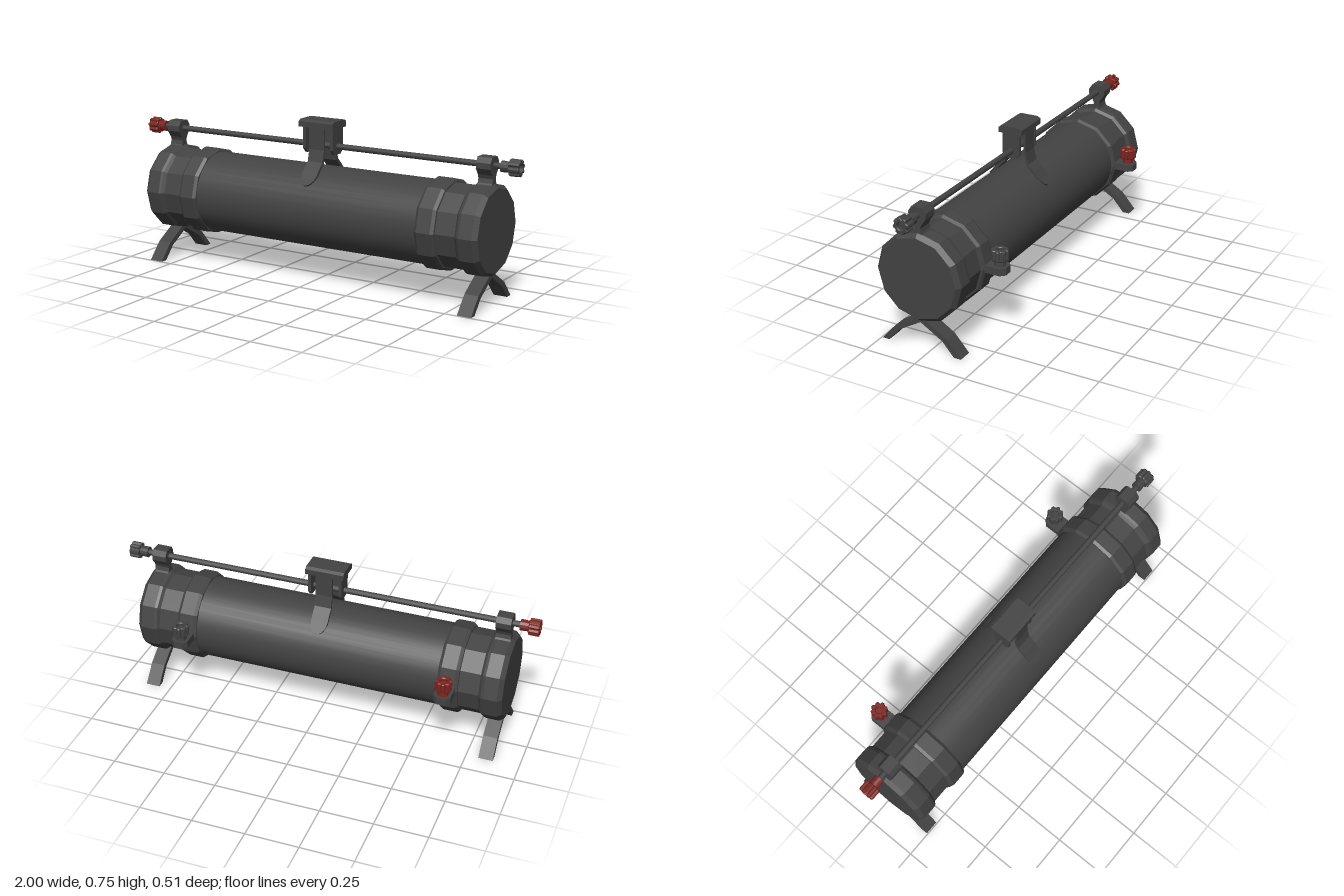
import * as THREE from 'three';

const CY = 0.345, CZ = 0.045; // tube axis
const ROD_Y = 0.635;

export function createModel() {
  const root = new THREE.Group();
  root.name = 'cylinderAssembly';
  const dark = new THREE.MeshStandardMaterial({ color: 0x434343 });
  dark.name = 'darkGrey';
  const red = new THREE.MeshStandardMaterial({ color: 0x7c2520 });
  red.name = 'red';

  const flat = (geo) => {
    const g = geo.index ? geo.toNonIndexed() : geo;
    g.computeVertexNormals();
    return g;
  };
  const add = (name, geo, mat = dark, parent = root) => {
    const m = new THREE.Mesh(geo, mat);
    m.name = name;
    parent.add(m);
    return m;
  };
  const shapeOf = (pts) => new THREE.Shape(pts.map(([x, y]) => new THREE.Vector2(x, y)));

  // twelve-sided turned part along x, profile of [radius, x]
  const turned = (profile) => {
    const g = new THREE.LatheGeometry(profile.map(([r, x]) => new THREE.Vector2(r, x)), 12);
    g.rotateZ(-Math.PI / 2);
    g.translate(0, CY, CZ);
    return flat(g);
  };
  // outline in (z, y), extruded along x around a centre
  const sidePlate = (pts, x, width) => {
    const g = new THREE.ExtrudeGeometry(shapeOf(pts), { depth: width, bevelEnabled: false });
    g.translate(0, 0, -width / 2);
    g.rotateY(-Math.PI / 2);
    g.translate(x, 0, CZ);
    return g;
  };

  // main tube
  const tube = new THREE.CylinderGeometry(0.193, 0.193, 1.28, 36, 1, true);
  tube.rotateZ(Math.PI / 2);
  tube.translate(0, CY, CZ);
  add('tube', tube);

  // fluted knob standing on local y = 0
  const knob = (name, mat, hubHeight) => {
    const g = new THREE.Group();
    g.name = name;
    const hub = new THREE.CylinderGeometry(0.022, 0.026, hubHeight + 0.035, 12);
    hub.translate(0, (hubHeight + 0.035) / 2, 0);
    add('knobHub', flat(hub), mat, g);
    const pts = [];
    for (let i = 0; i < 32; i++) {
      const r = i % 4 < 2 ? 0.036 : 0.029;
      const a = (i + 0.5) * Math.PI / 16;
      pts.push([r * Math.cos(a), r * Math.sin(a)]);
    }
    const s = shapeOf(pts);
    s.holes.push(new THREE.Path().absarc(0, 0, 0.02, 0, Math.PI * 2, true));
    const grip = new THREE.ExtrudeGeometry(s, {
      depth: 0.042, bevelEnabled: true, bevelThickness: 0.004, bevelSize: 0.003, bevelSegments: 1, curveSegments: 12
    });
    grip.rotateX(-Math.PI / 2);
    grip.translate(0, hubHeight + 0.004, 0);
    add('knobGrip', grip, mat, g);
    root.add(g);
    return g;
  };

  for (const side of [-1, 1]) {
    const label = side < 0 ? 'right' : 'left';
    const mat = side < 0 ? red : dark;
    // reverse the profile on the mirrored side so that faces stay outward
    const ends = (profile) => turned(side > 0 ? profile : profile.map(([r, x]) => [r, -x]).reverse());

    add(label + 'EndCap', ends([
      [0.194, 0.67], [0.194, 0.785], [0.206, 0.797], [0.21, 0.81], [0.21, 0.873], [0.192, 0.894], [0, 0.894]
    ]));
    add(label + 'ClampRing', ends([
      [0.185, 0.588], [0.203, 0.592], [0.212, 0.606], [0.212, 0.674], [0.203, 0.688], [0.185, 0.692]
    ]));

    // crossed feet
    for (const f of [-1, 1]) {
      const leg = [[0.02, 0.148], [0.13, 0.08], [0.2, 0], [0.165, 0], [0.108, 0.065], [-0.012, 0.137], [-0.012, 0.16]];
      add(label + 'Leg', sidePlate(leg.map(([z, y]) => [z * f, y]), side * 0.842, 0.068));
    }

    // post that carries the rod
    const half = [[0.03, 0.54], [0.019, 0.556], [0.014, 0.575], [0.02, 0.592], [0.042, 0.622], [0.042, 0.648], [0.026, 0.672]];
    const post = half.concat(half.map(([z, y]) => [-z, y]).reverse());
    add(label + 'RodPost', sidePlate(post, side * 0.84, 0.07));

    // rod end knob
    const endKnob = knob(label + 'RodKnob', mat, 0.04);
    endKnob.position.set(side * 0.91, ROD_Y, CZ);
    endKnob.rotation.z = -side * Math.PI / 2;

    // rear valve bracket and its knob
    const lug = new THREE.ExtrudeGeometry(shapeOf([
      [-0.04, 0.14], [0.04, 0.14], [0.04, 0.235], [0.02, 0.255], [-0.02, 0.255], [-0.04, 0.235]
    ]), { depth: 0.034, bevelEnabled: false });
    lug.rotateX(-Math.PI / 2);
    lug.translate(side * 0.64, 0.331, 0);
    add(label + 'RearLug', lug);
    knob(label + 'RearKnob', mat, 0.027).position.set(side * 0.64, 0.363, -0.216);

    // hanger plates through which the rod passes
    add(label + 'HangerPlate', sidePlate([
      [-0.044, 0.725], [-0.044, 0.62], [-0.025, 0.598], [0.025, 0.598], [0.044, 0.62], [0.044, 0.725]
    ], side * 0.074, 0.014));
  }

  // long rod
  const rod = new THREE.CylinderGeometry(0.014, 0.014, 1.84, 12);
  rod.rotateZ(Math.PI / 2);
  rod.translate(0, ROD_Y, CZ);
  add('rod', rod);

  // chamfered top plate
  const plate = add('topPlate', sidePlate([
    [-0.059, 0.721], [0.059, 0.721], [0.059, 0.746], [0.045, 0.755], [-0.045, 0.755], [-0.059, 0.746]
  ], 0, 0.184));
  plate.position.x = -0.003;

  // straps: sections of [z offset, y, half width], rounded at the tip
  const path = [
    [0.055, 0.725, 0.04], [0.055, 0.62, 0.04], [0.068, 0.565, 0.04], [0.1, 0.534, 0.04],
    [0.118, 0.512, 0.04], [0.135, 0.493, 0.035], [0.148, 0.48, 0.025], [0.156, 0.471, 0.01]
  ];
  for (const f of [-1, 1]) {
    const pos = [], idx = [];
    path.forEach(([z, y, w], i) => {
      const dy = i < 2 ? 0 : 0.009;
      const zi = z - 0.011, yi = y - dy;
      pos.push(-w, y, CZ + f * z, w, y, CZ + f * z, w, yi, CZ + f * zi, -w, yi, CZ + f * zi);
      if (i === 0) return;
      const a = (i - 1) * 4, b = i * 4;
      for (let k = 0; k < 4; k++) {
        const n = (k + 1) % 4;
        if (f > 0) idx.push(a + k, b + k, b + n, a + k, b + n, a + n);
        else idx.push(a + k, b + n, b + k, a + k, a + n, b + n);
      }
    });
    const e = (path.length - 1) * 4;
    if (f > 0) idx.push(e, e + 3, e + 2, e, e + 2, e + 1);
    else idx.push(e, e + 2, e + 3, e, e + 1, e + 2);
    const g = new THREE.BufferGeometry();
    g.setAttribute('position', new THREE.Float32BufferAttribute(pos, 3));
    g.setIndex(idx);
    add(f > 0 ? 'frontStrap' : 'backStrap', flat(g));
  }

  return root;
}
